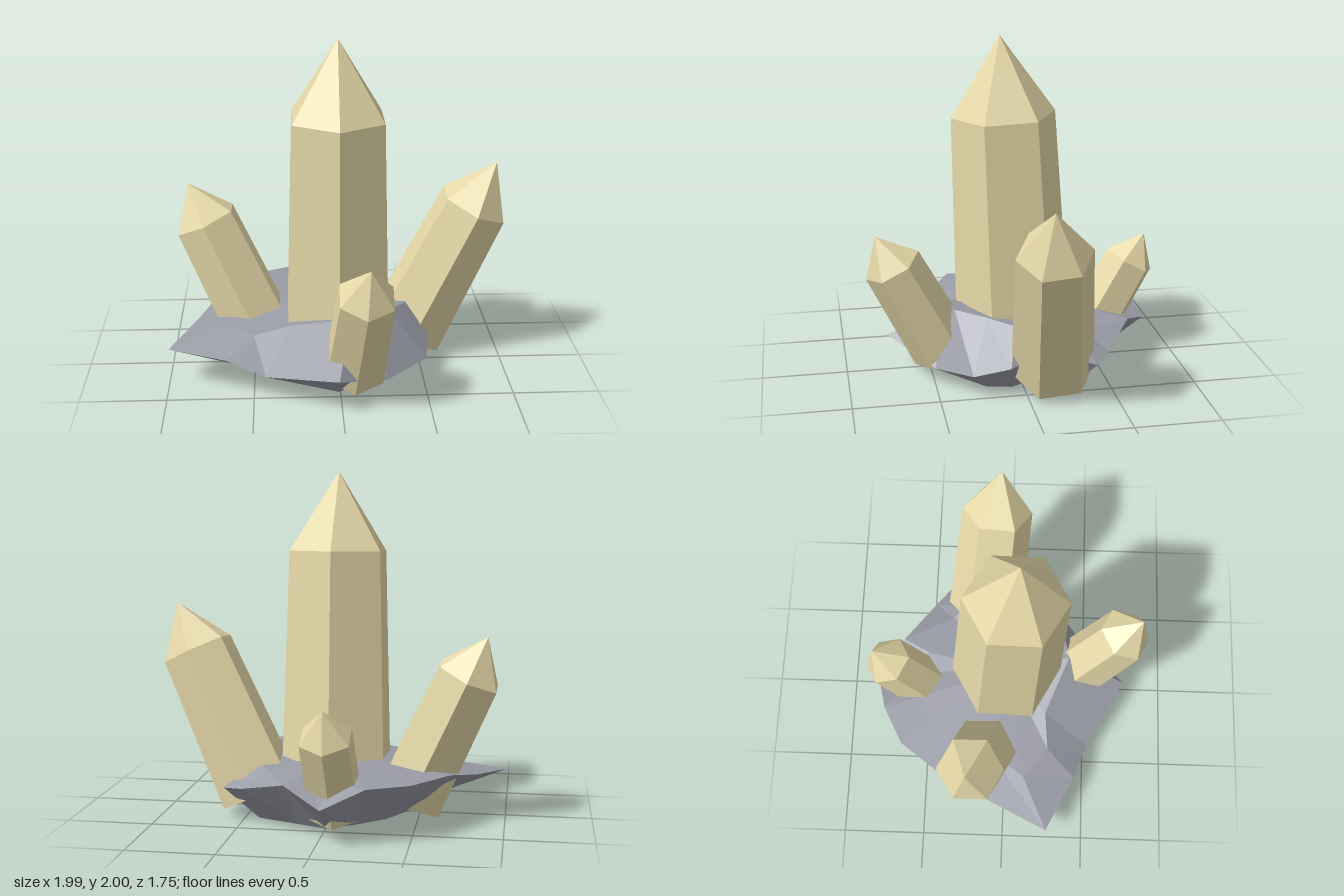
import * as THREE from 'three';

const crystalMaterial = new THREE.MeshStandardMaterial({ color: 0xe6d9a8, flatShading: true });
const rockMaterial = new THREE.MeshStandardMaterial({ color: 0x9a9ca6, flatShading: true });

// Six-sided crystal: tapered prism from base to tip, with a pointed cap.
function crystal(name, base, tip, capHeight, baseRadius, shoulderRadius) {
  const from = new THREE.Vector3(...base);
  const axis = new THREE.Vector3(...tip).sub(from);
  const length = axis.length();
  const profile = [
    [0, 0], [baseRadius, 0], [shoulderRadius, length - capHeight], [0, length],
  ].map(([r, y]) => new THREE.Vector2(r, y));
  const mesh = new THREE.Mesh(new THREE.LatheGeometry(profile, 6), crystalMaterial);
  mesh.name = name;
  mesh.position.copy(from);
  mesh.quaternion.setFromUnitVectors(new THREE.Vector3(0, 1, 0), axis.normalize());
  return mesh;
}

// Faceted rock slab: an upper ring, a jagged rim and a shrunken underside ring.
function rock() {
  const rim = [
    [-1, 0.21, 0.27], [-0.66, 0.21, 0.44], [-0.43, 0.14, 0.52], [-0.02, 0.21, 0.75],
    [0.27, 0.1, 0.5], [0.51, 0.14, 0.31], [0.55, 0.19, 0.1], [0.47, 0.24, -0.1],
    [0.6, 0.2, -0.39], [0.48, 0.22, -0.48], [0.2, 0.3, -0.67], [-0.03, 0.21, -0.83],
    [-0.27, 0.32, -0.77], [-0.5, 0.32, -0.65], [-0.7, 0.32, -0.38], [-0.83, 0.26, -0.1],
  ];
  const upper = [
    [-0.68, 0.29, 0.12], [-0.5, 0.29, 0.27], [-0.28, 0.34, 0.25], [0.06, 0.43, 0.39],
    [0.17, 0.42, 0.37], [0.3, 0.41, 0.2], [0.41, 0.39, 0.05], [0.41, 0.37, -0.05],
    [0.42, 0.33, -0.3], [0.35, 0.31, -0.36], [0.1, 0.33, -0.5], [-0.03, 0.31, -0.55],
    [-0.2, 0.33, -0.55], [-0.35, 0.33, -0.45], [-0.5, 0.33, -0.28], [-0.55, 0.32, -0.08],
  ];
  const lower = rim.map(([x, , z]) => [x * 0.7, 0.04 - 0.07 * x, z * 0.7]);
  const rings = [upper, rim, lower];
  const n = rim.length;
  const points = [...rings.flat(), [0, 0.37, 0], [0.05, 0.015, 0]];
  const faces = [];
  for (let i = 0; i < n; i++) {
    const j = (i + 1) % n;
    faces.push(3 * n, i, j); // top fan
    for (let r = 0; r < 2; r++) {
      const a = r * n, b = a + n;
      faces.push(a + i, b + i, b + j, a + i, b + j, a + j);
    }
    faces.push(3 * n + 1, 2 * n + j, 2 * n + i); // bottom fan
  }
  const indexed = new THREE.BufferGeometry();
  indexed.setAttribute('position', new THREE.Float32BufferAttribute(points.flat(), 3));
  indexed.setIndex(faces);
  const geometry = indexed.toNonIndexed();
  geometry.computeVertexNormals();
  const mesh = new THREE.Mesh(geometry, rockMaterial);
  mesh.name = 'rockBase';
  return mesh;
}

export function createModel() {
  const group = new THREE.Group();
  group.name = 'crystalCluster';
  group.add(
    rock(),
    crystal('mainCrystal', [0, 0.1, -0.015], [0, 2, 0.07], 0.46, 0.35, 0.305),
    crystal('leftCrystal', [0.43, 0.125, -0.165], [0.95, 1.23, -0.06], 0.3, 0.245, 0.215),
    crystal('rightCrystal', [-0.45, 0.12, -0.125], [-0.89, 1.08, -0.21], 0.25, 0.22, 0.2),
    crystal('frontCrystal', [0.08, 0.14, 0.43], [0.145, 0.89, 0.82], 0.21, 0.19, 0.172),
    crystal('backCrystal', [-0.065, 0.125, -0.485], [-0.045, 0.75, -0.825], 0.18, 0.165, 0.155),
  );
  return group;
}
